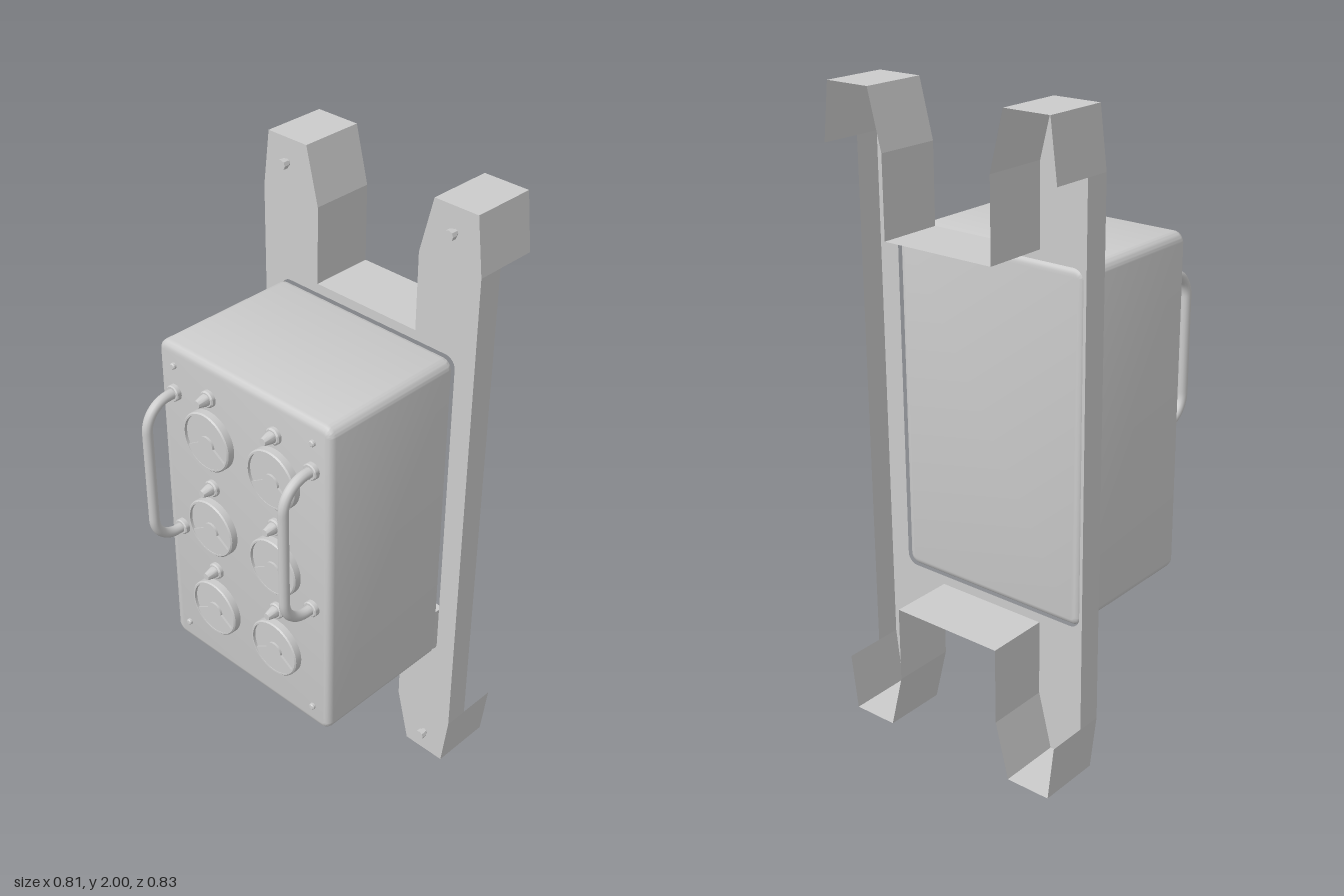
import * as THREE from 'three';
import { toCreasedNormals } from 'three/addons/utils/BufferGeometryUtils.js';

const metal = new THREE.MeshStandardMaterial({ color: 0xcccccc });
const sheet = new THREE.MeshStandardMaterial({ color: 0xcccccc, side: THREE.DoubleSide });

const PLATE_Z = -0.21, FRONT_Z = 0.285;
const BOX_W = 0.676, BOX_H = 1.095, BOX_Y = 1.002;

function add(parent, name, geometry, x = 0, y = 0, z = 0, material = metal) {
  const mesh = new THREE.Mesh(geometry, material);
  mesh.name = name;
  mesh.position.set(x, y, z);
  parent.add(mesh);
  return mesh;
}

// Rounded rectangle centred on (0, cy)
function roundedRect(w, h, r, cy = 0, Type = THREE.Shape) {
  const s = new Type(), x = w / 2 - r, y = h / 2 - r;
  s.absarc(x, cy + y, r, 0, Math.PI / 2);
  s.absarc(-x, cy + y, r, Math.PI / 2, Math.PI);
  s.absarc(-x, cy - y, r, Math.PI, Math.PI * 1.5);
  s.absarc(x, cy - y, r, Math.PI * 1.5, Math.PI * 2);
  s.closePath();
  return s;
}

// Turned part with its axis along +z; profile is [radius, z] pairs
function turned(profile, sides = 24, crease = 0.6) {
  const g = new THREE.LatheGeometry(profile.map(([r, z]) => new THREE.Vector2(r, z)), sides);
  g.rotateX(Math.PI / 2);
  return toCreasedNormals(g, crease);
}

// Folded strip running back from the plate along a path of [x, y] points
function flange(path, depth) {
  const pos = [];
  for (let i = 0; i + 1 < path.length; i++) {
    const [ax, ay] = path[i], [bx, by] = path[i + 1];
    const f = PLATE_Z, b = PLATE_Z - depth;
    pos.push(ax, ay, f, bx, by, f, bx, by, b, ax, ay, f, bx, by, b, ax, ay, b);
  }
  const g = new THREE.BufferGeometry();
  g.setAttribute('position', new THREE.Float32BufferAttribute(pos, 3));
  g.computeVertexNormals();
  return g;
}

function createBracket() {
  const bracket = new THREE.Group();
  bracket.name = 'mountingBracket';
  // Upper outline from left side to right side, and its lower mirror
  const half = [[0.407, 1.825], [0.385, 2], [0.235, 2], [0.19, 1.825], [0.19, 1.58]];
  const upper = [...half, ...half.map(([x, y]) => [-x, y]).reverse()];
  const lower = upper.map(([x, y]) => [x, 2.005 - y]).map(([x, y]) => [x, Math.max(0, y - (y < 0.1 ? 0.005 : 0))]);

  const outline = new THREE.Shape([...upper, ...[...lower].reverse()].map(([x, y]) => new THREE.Vector2(x, y)));
  outline.holes.push(roundedRect(BOX_W, BOX_H, 0.035, BOX_Y, THREE.Path));
  add(bracket, 'bracketPlate', new THREE.ShapeGeometry(outline, 6), 0, 0, PLATE_Z, sheet);

  add(bracket, 'upperFlange', flange(upper, 0.207), 0, 0, 0, sheet);
  add(bracket, 'lowerFlange', flange(lower, 0.207), 0, 0, 0, sheet);
  for (const s of [1, -1]) {
    add(bracket, 'sideFlange', flange([[s * 0.407, 0.18], [s * 0.407, 1.825]], 0.08), 0, 0, 0, sheet);
    for (const y of [0.08, 1.925]) {
      add(bracket, 'mountingBolt',
        turned([[0.011, 0], [0.011, 0.01], [0.016, 0.01], [0.016, 0.027], [0, 0.027]], 8), s * 0.31, y, PLATE_Z);
    }
  }
  return bracket;
}

function createGauge() {
  const gauge = new THREE.Group();
  gauge.name = 'gauge';
  add(gauge, 'gaugeBezel', turned([[0.094, 0], [0.094, 0.021], [0.09, 0.025], [0.085, 0.025], [0.085, 0.016]], 40));
  add(gauge, 'gaugeDial', new THREE.CircleGeometry(0.086, 40), 0, 0, 0.016);
  // Lower cover with sloped shoulders and a round hub
  const cover = new THREE.Shape();
  const a = Math.PI * 0.16;
  cover.absarc(0, 0, 0.085, Math.PI + a, Math.PI * 2 - a, false);
  cover.lineTo(0.029, -0.012);
  cover.absarc(0, -0.012, 0.029, 0, Math.PI, false);
  cover.closePath();
  add(gauge, 'gaugeCover',
    new THREE.ExtrudeGeometry(cover, { depth: 0.007, bevelEnabled: false, curveSegments: 20 }), 0, 0, 0.016);
  return gauge;
}

function createHandle() {
  const handle = new THREE.Group();
  handle.name = 'handle';
  const [y0, y1, z0, z1, r] = [0.914, 1.396, 0, 0.114, 0.085];
  const v = (y, z) => new THREE.Vector3(0, y, z);
  const path = new THREE.CurvePath();
  path.add(new THREE.LineCurve3(v(y0, z0), v(y0, z1 - r)));
  path.add(new THREE.CubicBezierCurve3(v(y0, z1 - r), v(y0, z1 - r * 0.45), v(y0 + r * 0.45, z1), v(y0 + r, z1)));
  path.add(new THREE.LineCurve3(v(y0 + r, z1), v(y1 - r, z1)));
  path.add(new THREE.CubicBezierCurve3(v(y1 - r, z1), v(y1 - r * 0.45, z1), v(y1, z1 - r * 0.45), v(y1, z1 - r)));
  path.add(new THREE.LineCurve3(v(y1, z1 - r), v(y1, z0)));
  add(handle, 'handleBar', new THREE.TubeGeometry(path, 72, 0.016, 12));
  for (const y of [y0, y1]) {
    add(handle, 'handleFoot', turned([[0.025, 0], [0.025, 0.013], [0.022, 0.016], [0.01, 0.016]]), 0, y, 0);
  }
  return handle;
}

export function createModel() {
  const model = new THREE.Group();
  model.name = 'controlBox';
  model.add(createBracket());

  // Housing with softened front and back edges
  const bevel = 0.02, back = -0.207;
  const body = new THREE.ExtrudeGeometry(roundedRect(BOX_W - 2 * bevel, BOX_H - 2 * bevel, 0.015), {
    depth: FRONT_Z - back - 2 * bevel, bevelThickness: bevel, bevelSize: bevel, bevelSegments: 3, curveSegments: 6,
  });
  add(model, 'housing', toCreasedNormals(body, 0.6), 0, BOX_Y, back + bevel);

  for (const s of [1, -1]) {
    // Column of gauges, each with an indicator above
    for (const y of [0.68, 0.99, 1.3]) {
      const gauge = createGauge();
      gauge.position.set(s * 0.13, y, FRONT_Z);
      model.add(gauge);
      add(model, 'indicator',
        turned([[0.026, 0], [0.026, 0.01], [0.022, 0.014], [0.018, 0.014], [0.017, 0.024], [0.011, 0.048], [0, 0.048]]),
        s * 0.13, y + 0.14, FRONT_Z);
    }
    const handle = createHandle();
    handle.position.set(s * 0.273, 0, FRONT_Z);
    model.add(handle);
    for (const y of [0.525, 1.484]) {
      add(model, 'panelScrew', turned([[0.01, 0], [0.01, 0.007], [0.007, 0.01], [0, 0.01]], 12), s * 0.273, y, FRONT_Z);
    }
  }
  return model;
}
